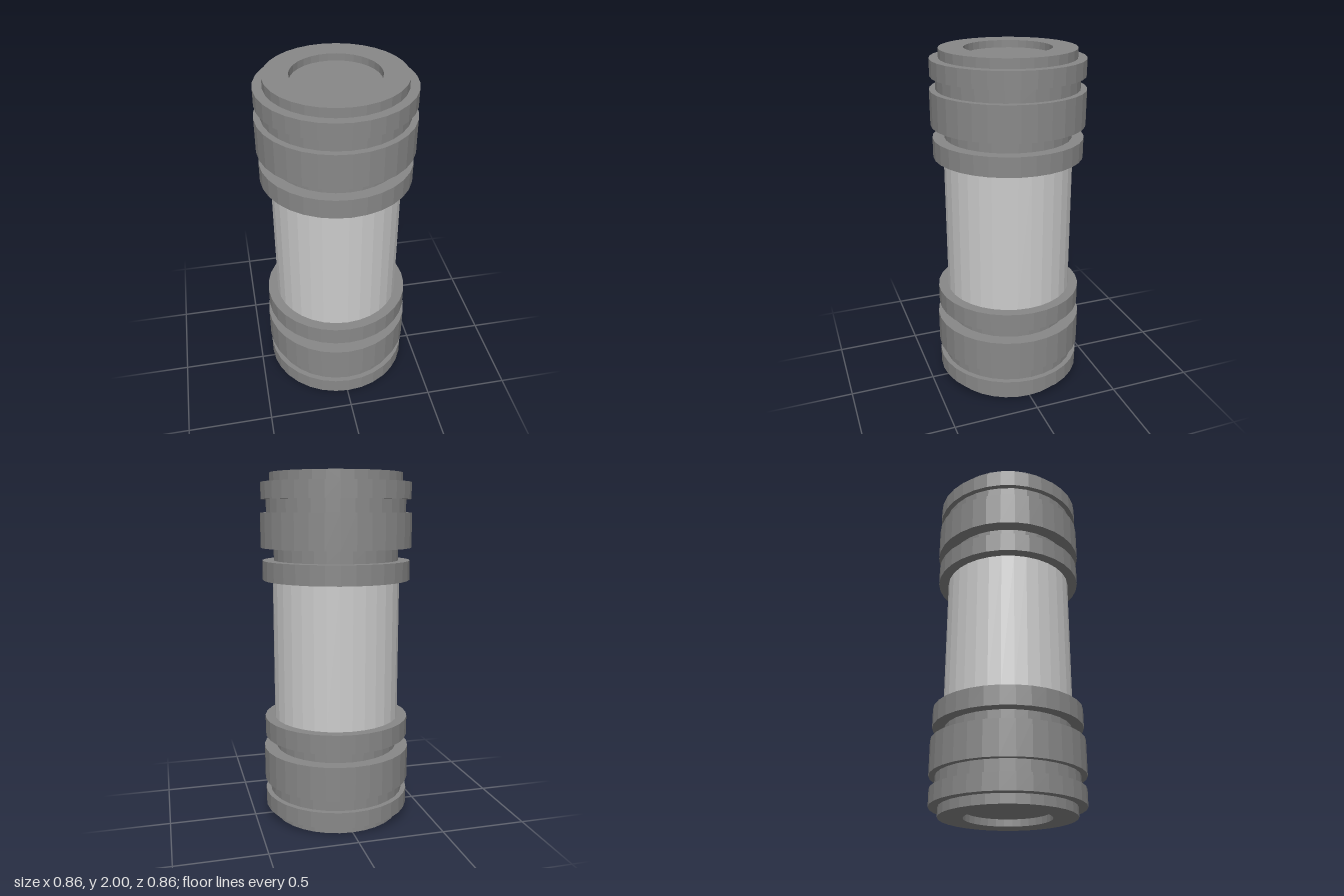
import * as THREE from 'three';

const SIDES = 32;

export function createModel() {
  const model = new THREE.Group();
  model.name = 'canister';

  const bodyMat = new THREE.MeshStandardMaterial({ color: 0xcccccc, flatShading: true });
  const capMat = new THREE.MeshStandardMaterial({ color: 0x888888, flatShading: true });

  // closed cylindrical band between two heights
  function band(name, radius, y0, y1, material) {
    const geometry = new THREE.CylinderGeometry(radius, radius, y1 - y0, SIDES);
    const mesh = new THREE.Mesh(geometry, material);
    mesh.position.y = (y0 + y1) / 2;
    mesh.name = name;
    return mesh;
  }

  // one end fitting, heights measured from the model's middle
  function endCap(name) {
    const cap = new THREE.Group();
    cap.name = name;
    cap.add(
      band('innerRing', 0.423, 0.405, 0.515, capMat),
      band('lowerNeck', 0.357, 0.515, 0.587, capMat),
      band('wideRing', 0.431, 0.587, 0.783, capMat),
      band('upperNeck', 0.397, 0.783, 0.855, capMat),
      band('outerRing', 0.426, 0.855, 0.948, capMat)
    );

    // raised end plate with a shallow round recess
    const profile = [[0.376, 0.948], [0.376, 1], [0.24, 1], [0.24, 0.96], [0, 0.96]];
    const plate = new THREE.Mesh(
      new THREE.LatheGeometry(profile.map(([r, y]) => new THREE.Vector2(r, y)), SIDES),
      capMat
    );
    plate.name = 'recessedEndPlate';
    cap.add(plate);
    cap.position.y = 1;
    return cap;
  }

  model.add(band('body', 0.365, 0.595, 1.405, bodyMat));

  const topCap = endCap('topCap');
  const bottomCap = endCap('bottomCap');
  bottomCap.rotation.x = Math.PI;
  model.add(topCap, bottomCap);

  return model;
}
